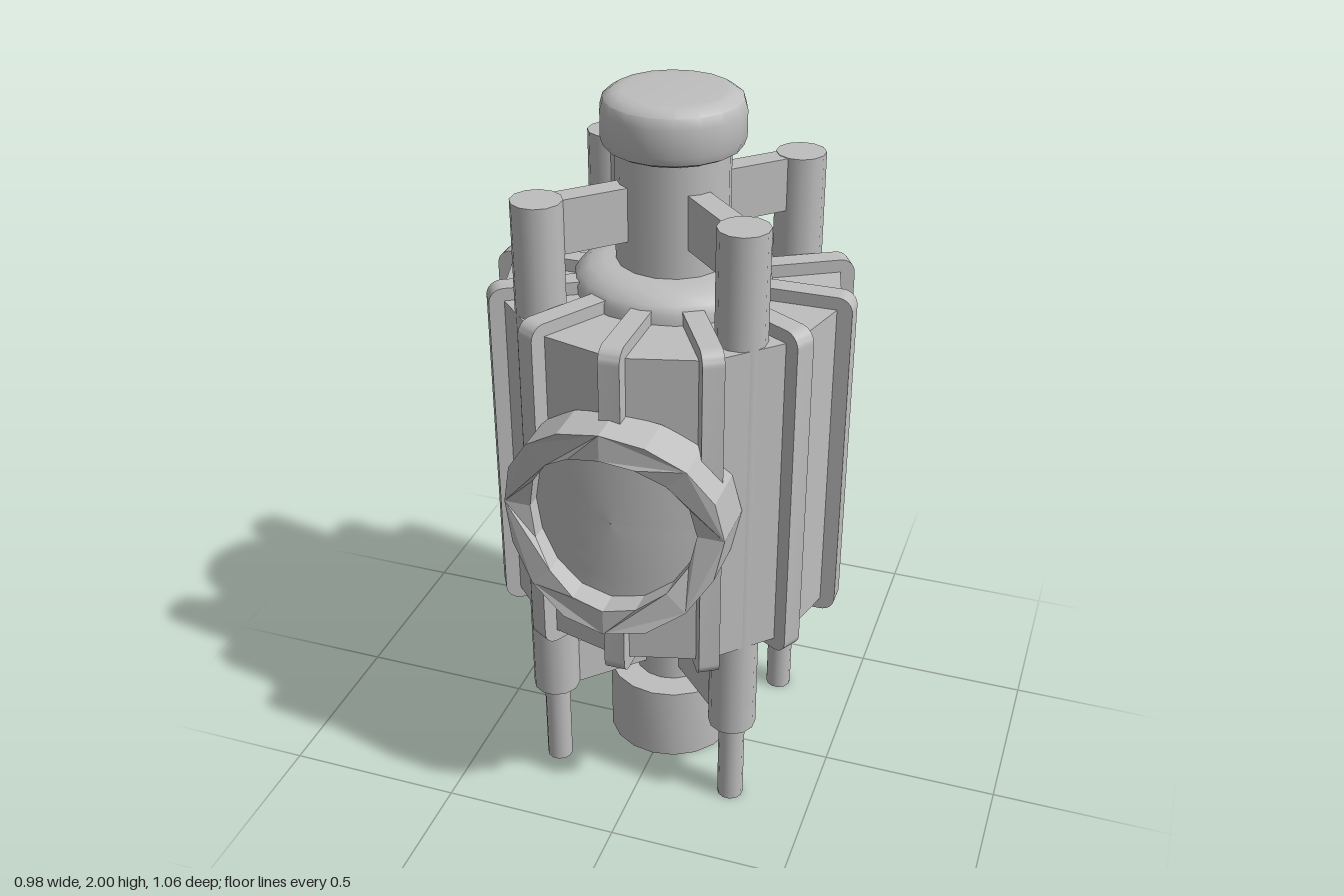
import * as THREE from 'three';
import { toCreasedNormals } from 'three/addons/utils/BufferGeometryUtils.js';

const MID = 1.0225; // mid height of the drum

export function createModel() {
  const model = new THREE.Group();
  const metal = new THREE.MeshStandardMaterial({ color: 0xbebebe });
  metal.name = 'grey metal';

  // Everything but the port is arranged around one vertical axis
  const core = new THREE.Group();
  core.name = 'core';
  core.position.z = -0.04;
  model.add(core);

  const add = (name, geometry, parent = core) => {
    const mesh = new THREE.Mesh(geometry, metal);
    mesh.name = name;
    parent.add(mesh);
    return mesh;
  };
  const cylinder = (name, r, y0, y1, sides = 16, parent = core) => {
    const mesh = add(name, new THREE.CylinderGeometry(r, r, y1 - y0, sides), parent);
    mesh.position.y = (y0 + y1) / 2;
    return mesh;
  };
  const lathe = (name, points) => add(name, toCreasedNormals(
    new THREE.LatheGeometry(points.map(([r, y]) => new THREE.Vector2(r, y)), 18), 0.7));
  const flat = (geometry) => {
    const g = geometry.index ? geometry.toNonIndexed() : geometry;
    g.computeVertexNormals();
    return g;
  };

  // Twelve-sided drum
  const drum = add('drum', flat(new THREE.CylinderGeometry(0.457, 0.457, 0.905, 12)));
  drum.position.y = MID;

  // Twelve thin fins with rounded outer corners, one on each drum corner
  const r = 0.04, out = 0.49, inn = 0.2, h = 0.4875;
  const finShape = new THREE.Shape();
  finShape.moveTo(inn, -h);
  finShape.lineTo(out - r, -h);
  finShape.absarc(out - r, -h + r, r, -Math.PI / 2, 0, false);
  finShape.lineTo(out, h - r);
  finShape.absarc(out - r, h - r, r, 0, Math.PI / 2, false);
  finShape.lineTo(inn, h);
  const finGeometry = toCreasedNormals(
    new THREE.ExtrudeGeometry(finShape, { depth: 0.056, bevelEnabled: false, curveSegments: 4 })
      .translate(0, 0, -0.028), 0.6);
  for (let i = 0; i < 12; i++) {
    const fin = add('fin', finGeometry);
    fin.position.y = MID;
    fin.rotation.y = i * Math.PI / 6;
  }

  // Rounded collars above and below the drum
  lathe('topCollar', [[0.263, 1.46], [0.263, 1.5], [0.25, 1.522], [0.22, 1.543], [0.18, 1.551], [0.1, 1.551]]);
  lathe('bottomCollar', [[0.1, 0.494], [0.18, 0.494], [0.22, 0.502], [0.25, 0.523], [0.263, 0.545], [0.263, 0.585]]);

  // Upper column and knob
  cylinder('upperColumn', 0.15, 1.54, 1.87);
  lathe('knob', [[0, 1.853], [0.16, 1.853], [0.179, 1.863], [0.187, 1.885], [0.187, 1.955],
    [0.179, 1.982], [0.155, 1.998], [0.13, 2.0], [0, 2.0]]);

  // Lower column with its step, and a hollow foot
  cylinder('lowerStep', 0.15, 0.458, 0.5);
  cylinder('lowerColumn', 0.109, 0.22, 0.47);
  lathe('foot', [[0, 0.08], [0.148, 0.08], [0.148, 0], [0.187, 0], [0.187, 0.23], [0, 0.23]]);
  cylinder('footNub', 0.08, 0.025, 0.09);

  // Four corner rods with pins below and arms to the columns
  const rodRadius = 0.377;
  for (let i = 0; i < 4; i++) {
    const corner = new THREE.Group();
    corner.name = 'cornerRod';
    corner.rotation.y = Math.PI / 4 + i * Math.PI / 2;
    core.add(corner);
    cylinder('rod', 0.067, 0.27, 1.775, 12, corner).position.x = rodRadius;
    cylinder('pin', 0.037, 0, 0.28, 12, corner).position.x = rodRadius;
    for (const [name, y, start] of [['upperArm', 1.701, 0.13], ['lowerArm', 0.343, 0.09]]) {
      const arm = add(name, new THREE.BoxGeometry(rodRadius - start, 0.145, 0.062), corner);
      arm.position.set((rodRadius + start) / 2, y, 0);
    }
  }

  // Round front port: a ring bent around the drum
  const port = new THREE.Group();
  port.name = 'frontPort';
  port.position.set(0, 1.022, -0.04);
  model.add(port);
  const R = 0.298;
  const ringShape = new THREE.Shape().absarc(0, 0, R, 0, Math.PI * 2, false);
  ringShape.holes.push(new THREE.Path().absarc(0, 0, 0.226, 0, Math.PI * 2, true));
  const ring = new THREE.ExtrudeGeometry(ringShape, { depth: 1, bevelEnabled: false, curveSegments: 8 });
  const p = ring.attributes.position;
  for (let i = 0; i < p.count; i++) {
    const x = R * p.getX(i) / Math.hypot(p.getX(i), p.getY(i));
    const bend = p.getZ(i) > 0.5 ? 0.568 : 0.446;
    p.setZ(i, Math.sqrt(bend * bend - x * x));
  }
  add('portRing', flat(ring), port);

  // Curved cover inside the ring
  const cover = new THREE.RingGeometry(0.001, 0.235, 16, 4);
  const c = cover.attributes.position;
  for (let i = 0; i < c.count; i++) c.setZ(i, Math.sqrt(0.497 ** 2 - c.getX(i) ** 2));
  cover.computeVertexNormals();
  add('portCover', cover, port);

  return model;
}
